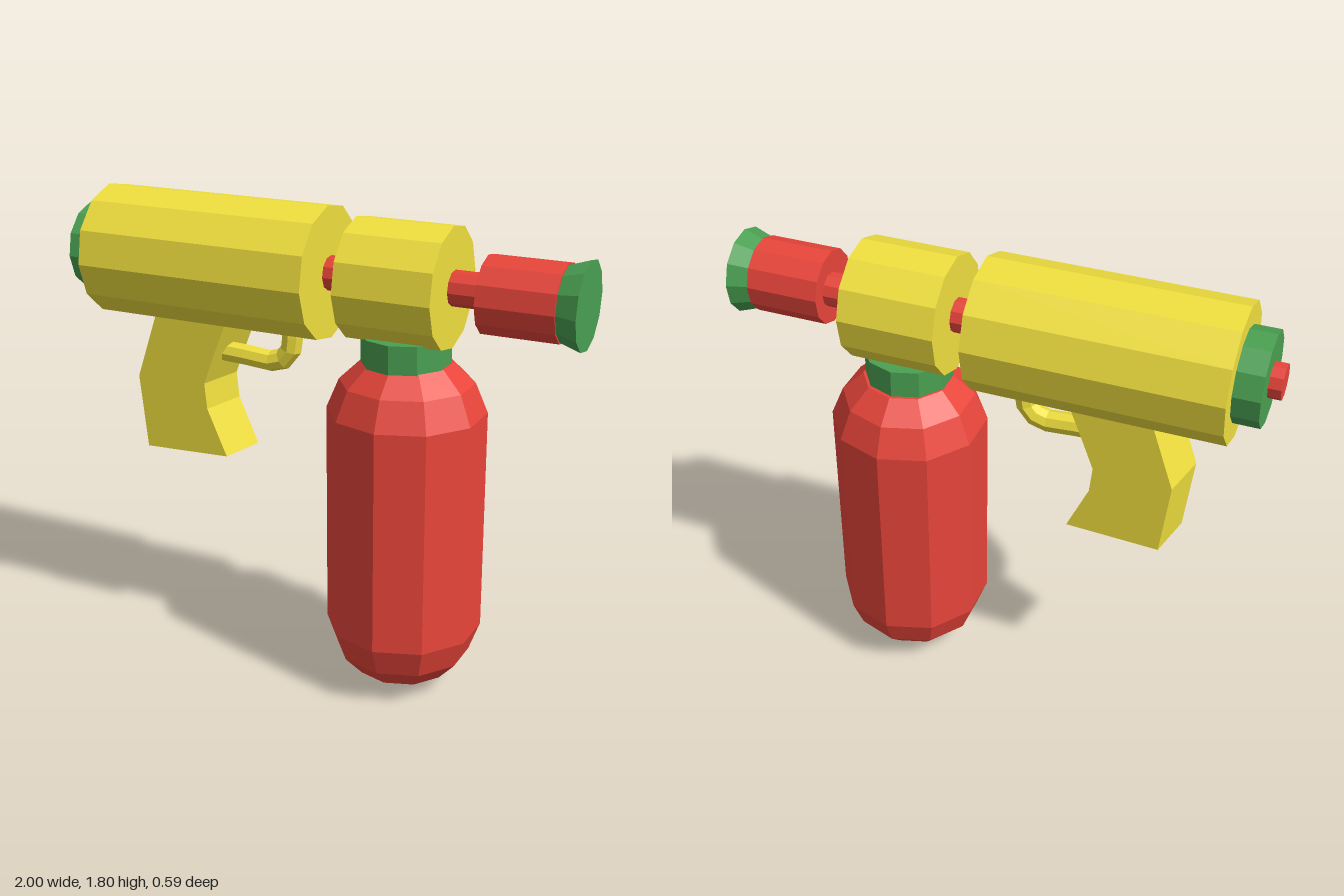
import * as THREE from 'three';

const paint = (color) => new THREE.MeshStandardMaterial({ color, flatShading: true, side: THREE.DoubleSide });

export function createModel() {
  const group = new THREE.Group();
  const yellow = paint(0xf0df3e), red = paint(0xe8453a), green = paint(0x4aa052);

  const add = (name, geometry, material) => {
    const mesh = new THREE.Mesh(geometry, material);
    mesh.name = name;
    group.add(mesh);
    return mesh;
  };

  // Faceted cylinder lying along x, from x0 (radius r0) to x1 (radius r1)
  const barrelPart = (name, material, x0, x1, r0, r1, z = 0, sides = 12, roll = 0.07) => {
    const geometry = new THREE.CylinderGeometry(r1, r0, x1 - x0, sides);
    geometry.rotateZ(-Math.PI / 2).rotateX(roll);
    add(name, geometry, material).position.set((x0 + x1) / 2, 1.562, z);
  };

  // Everything on the barrel axis, rear to front
  barrelPart('rod', red, -1, 0.7, 0.063, 0.063, 0, 10);
  barrelPart('rearCap', green, -0.955, -0.84, 0.166, 0.166);
  barrelPart('body', yellow, -0.86, 0.05, 0.245, 0.245);
  barrelPart('pumpCollar', yellow, 0.16, 0.52, 0.219, 0.219, 0.004);
  barrelPart('nozzle', red, 0.65, 0.925, 0.138, 0.138, 0.02);
  barrelPart('nozzleTip', green, 0.925, 1, 0.132, 0.157, 0.02);

  // Tank with rounded ends, hanging very slightly off vertical
  const profile = [[0, 0.003], [0.1, 0.022], [0.18, 0.065], [0.25, 0.14], [0.291, 0.25],
    [0.291, 1.09], [0.245, 1.2], [0.165, 1.275], [0, 1.275]];
  const tank = add('tank', new THREE.LatheGeometry(profile.map(([r, y]) => new THREE.Vector2(r, y)), 10), red);
  tank.position.set(0.371, 0, 0.008);
  tank.rotation.set(-0.014, 0, 0.015);

  // Neck between tank and collar
  const neck = add('tankNeck', new THREE.CylinderGeometry(0.162, 0.162, 0.12, 10), green);
  neck.position.set(0.35, 1.315, 0);
  neck.rotation.z = 0.015;

  // Curved pistol grip, skewed a little across its width
  const outline = [[-0.6, 1.38], [-0.7, 1.09], [-0.67, 0.805], [-0.32, 0.82], [-0.4, 1.0], [-0.41, 1.1],
    [-0.36, 1.23], [-0.3, 1.38]];
  const gripGeometry = new THREE.ExtrudeGeometry(
    new THREE.Shape(outline.map(([x, y]) => new THREE.Vector2(x, y))),
    { depth: 0.18, bevelEnabled: false });
  gripGeometry.translate(0, 0, -0.09);
  const p = gripGeometry.attributes.position;
  for (let i = 0; i < p.count; i++) p.setX(i, p.getX(i) - p.getZ(i) * 0.22);
  gripGeometry.computeVertexNormals();
  add('grip', gripGeometry, yellow);

  // Trigger guard: a bar from the grip that turns up into the body
  const guardPath = new THREE.CatmullRomCurve3([[-0.4, 1.212], [-0.28, 1.207], [-0.17, 1.202], [-0.115, 1.235],
    [-0.1, 1.3], [-0.1, 1.36]].map(([x, y]) => new THREE.Vector3(x, y, 0)));
  add('triggerGuard', new THREE.TubeGeometry(guardPath, 8, 0.041, 8, false), yellow);

  return group;
}
